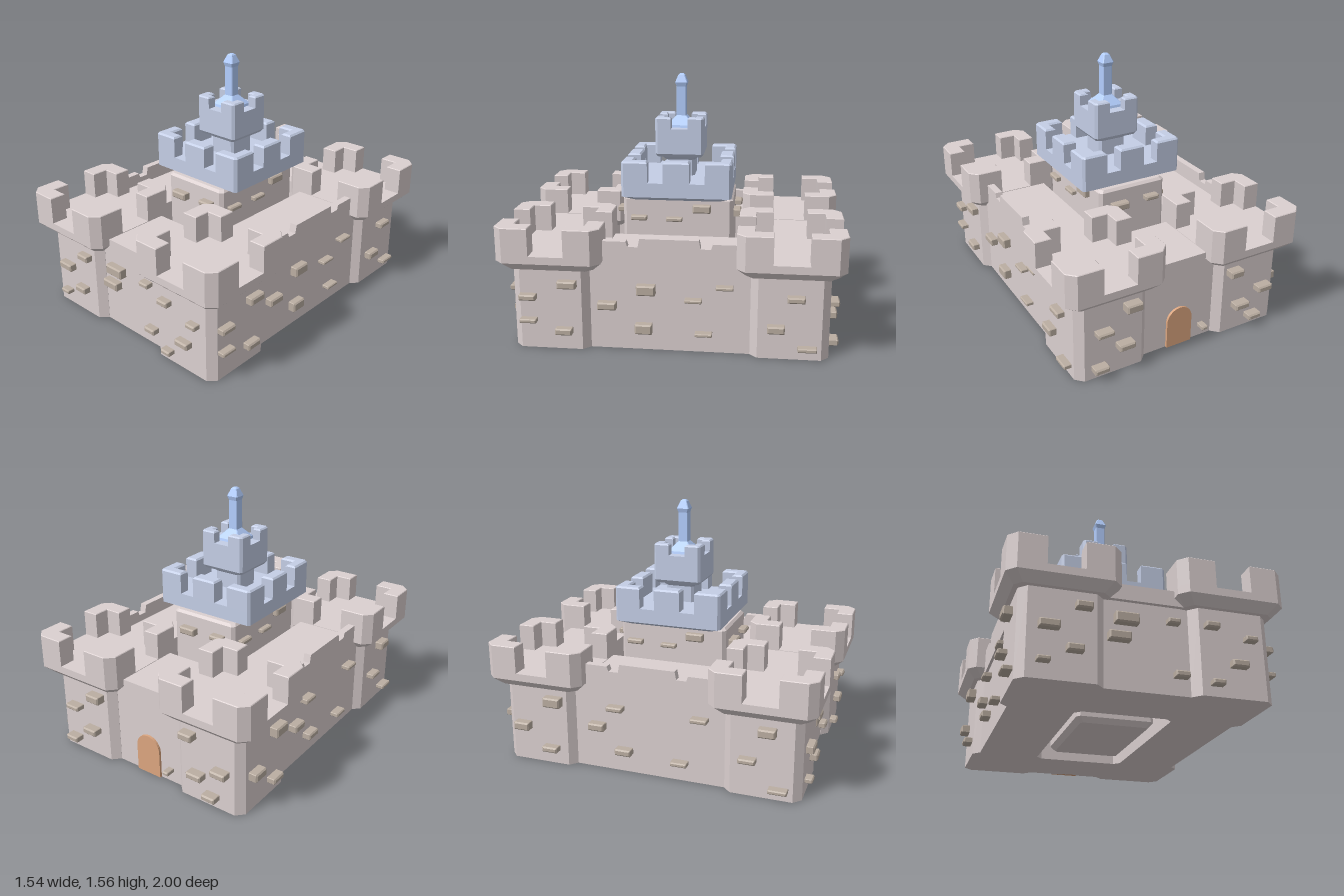
import * as THREE from 'three';

const paint = (color) => new THREE.MeshStandardMaterial({ color, flatShading: true });
const stone = paint(0xdbd0d0), brickMat = paint(0xbbaea2), slate = paint(0xc4cee6);
const spireMat = paint(0xb4cfff), doorMat = paint(0xdca680);

function add(parent, name, geometry, material, x = 0, y = 0, z = 0, ry = 0) {
  const mesh = new THREE.Mesh(geometry, material);
  mesh.name = name;
  mesh.position.set(x, y, z);
  mesh.rotation.y = ry;
  parent.add(mesh);
  return mesh;
}

// Solid through rectangles with cut corners; each ring is [y, halfX, halfZ, cornerCut]
function loft(rings) {
  const pos = [], index = [];
  for (const [y, a, b, c] of rings) {
    const plan = [[a, b - c], [a - c, b], [c - a, b], [-a, b - c], [-a, c - b], [c - a, -b], [a - c, -b], [a, c - b]];
    for (const [x, z] of plan) pos.push(x, y, z);
  }
  const top = (rings.length - 1) * 8;
  for (let r = 0; r < top; r += 8) {
    for (let i = 0; i < 8; i++) {
      const j = (i + 1) % 8;
      index.push(r + i, r + 8 + i, r + j, r + j, r + 8 + i, r + 8 + j);
    }
  }
  for (let i = 1; i < 7; i++) index.push(0, i, i + 1, top, top + i + 1, top + i);
  const g = new THREE.BufferGeometry();
  g.setAttribute('position', new THREE.Float32BufferAttribute(pos, 3));
  g.setIndex(index);
  const flat = g.toNonIndexed();
  flat.computeVertexNormals();
  return flat;
}

// Upright prism with bevelled edges, from a plan outline of [x, z] points
function prism(points, y0, y1, bevel) {
  const shape = new THREE.Shape(points.map(([x, z]) => new THREE.Vector2(x, -z)));
  const g = new THREE.ExtrudeGeometry(shape, {
    depth: y1 - y0 - 2 * bevel, bevelThickness: bevel, bevelSize: bevel, bevelOffset: -bevel, bevelSegments: 1,
  });
  return g.rotateX(-Math.PI / 2).translate(0, y0 + bevel, 0);
}

// Four L-shaped corner merlons round a square top
function cornerMerlons(parent, half, length, thick, cut, y0, y1, bevel, material) {
  const h = half, l = half - length, t = half - thick;
  const g = prism([[l, h], [l, t], [t, t], [t, l], [h, l], [h, h - cut], [h - cut, h]], y0, y1, bevel);
  for (let i = 0; i < 4; i++) add(parent, 'cornerMerlon', g, material, 0, 0, 0, i * Math.PI / 2);
}

// Raised bricks on a wall facing +z; rows are [x, y, width, height, wall z]
function bricks(parent, name, rows, angle, depth) {
  const group = new THREE.Group();
  group.name = name;
  group.rotation.y = angle;
  for (const [x, y, w, h, z] of rows) {
    const b = Math.min(0.008, h * 0.25);
    const g = loft([
      [-0.03, w / 2, h / 2, 0.003], [depth - b, w / 2, h / 2, 0.003], [depth, w / 2 - b, h / 2 - b, 0.002],
    ]).rotateX(Math.PI / 2);
    add(group, 'brick', g, brickMat, x, y, z);
  }
  parent.add(group);
}

export function createModel() {
  const castle = new THREE.Group();
  castle.name = 'castle';

  // Corner towers with flared battlements
  const towerBody = loft([[0, 0.228, 0.228, 0.045], [0.51, 0.228, 0.228, 0.045]]);
  const towerHead = loft([[0.495, 0.255, 0.255, 0.04], [0.545, 0.307, 0.307, 0.05], [0.59, 0.307, 0.307, 0.05]]);
  for (const sx of [-1, 1]) {
    for (const sz of [-1, 1]) {
      const tower = new THREE.Group();
      tower.name = 'cornerTower';
      tower.position.set(sx * 0.463, 0, sz * 0.693);
      add(tower, 'towerBody', towerBody, stone);
      add(tower, 'towerHead', towerHead, stone);
      cornerMerlons(tower, 0.307, 0.205, 0.102, 0.05, 0.56, 0.754, 0.004, stone);
      castle.add(tower);
    }
  }

  // Curtain walls round an open court, with slightly wider tops
  const endWall = new THREE.BoxGeometry(0.6, 0.5, 0.375);
  const endCap = new THREE.BoxGeometry(0.5, 0.09, 0.42);
  const sideWall = new THREE.BoxGeometry(0.368, 0.5, 1.1);
  const sideCap = new THREE.BoxGeometry(0.4, 0.09, 1.0);
  // Low side parapet with two notches
  const edge = [[-0.45, 0.57], [0.45, 0.57], [0.45, 0.665], [0.25, 0.665], [0.24, 0.635], [0.18, 0.635],
    [0.17, 0.685], [-0.17, 0.685], [-0.18, 0.635], [-0.24, 0.635], [-0.25, 0.665], [-0.45, 0.665]];
  const parapet = new THREE.ExtrudeGeometry(
    new THREE.Shape(edge.map(([x, y]) => new THREE.Vector2(x, y))), { depth: 0.045, bevelEnabled: false });
  for (const s of [-1, 1]) {
    add(castle, 'endWall', endWall, stone, 0, 0.25, s * 0.6875);
    add(castle, 'endWallTop', endCap, stone, 0, 0.542, s * 0.69);
    add(castle, 'sideWall', sideWall, stone, s * 0.464, 0.25, 0);
    add(castle, 'sideWallTop', sideCap, stone, s * 0.465, 0.542, 0);
    add(castle, 'sideParapet', parapet, stone, s * 0.62, 0, 0, s * Math.PI / 2);
  }

  // Arched door in the back wall
  const arch = new THREE.Shape();
  arch.moveTo(-0.085, 0);
  arch.lineTo(0.085, 0);
  arch.lineTo(0.085, 0.17);
  arch.absarc(0, 0.17, 0.085, 0, Math.PI, false);
  arch.closePath();
  add(castle, 'door', new THREE.ExtrudeGeometry(arch, { depth: 0.03, bevelEnabled: false, curveSegments: 8 }),
    doorMat, 0, 0, -0.86, Math.PI);

  // Central keep
  add(castle, 'keep', loft([
    [0, 0.2, 0.315, 0.015], [0.03, 0.228, 0.34, 0.02], [0.805, 0.228, 0.34, 0.02], [0.82, 0.215, 0.325, 0.02],
  ]), stone);

  // Broad blue battlement on the keep
  const crown = new THREE.Group();
  crown.name = 'keepBattlement';
  add(crown, 'crownBase', loft([
    [0.812, 0.27, 0.27, 0.015], [0.842, 0.334, 0.334, 0.015], [0.93, 0.334, 0.334, 0.015],
  ]), slate);
  cornerMerlons(crown, 0.334, 0.16, 0.07, 0.015, 0.9, 1.06, 0.01, slate);
  const merlon = prism([[-0.08, 0.334], [-0.08, 0.25], [0.08, 0.25], [0.08, 0.334]], 0.9, 1.06, 0.01);
  for (let i = 0; i < 4; i++) add(crown, 'middleMerlon', merlon, slate, 0, 0, 0, i * Math.PI / 2);
  castle.add(crown);

  // Small turret on a narrow neck
  const turret = new THREE.Group();
  turret.name = 'turret';
  add(turret, 'neck', loft([
    [0.92, 0.09, 0.09, 0.015], [1.03, 0.09, 0.09, 0.015], [1.065, 0.125, 0.125, 0.015],
  ]), slate);
  add(turret, 'turretBody', loft([
    [1.055, 0.135, 0.135, 0.012], [1.075, 0.15, 0.15, 0.015], [1.23, 0.15, 0.15, 0.015],
  ]), slate);
  cornerMerlons(turret, 0.15, 0.098, 0.055, 0.015, 1.2, 1.3, 0.008, slate);
  castle.add(turret);

  // Spire: flared square foot, square shaft and tapered tip
  add(castle, 'spire', loft([
    [1.225, 0.085, 0.085, 0.006], [1.245, 0.08, 0.08, 0.006], [1.3, 0.03, 0.03, 0.004],
    [1.48, 0.03, 0.03, 0.004], [1.505, 0.038, 0.038, 0.005],
    [1.55, 0.02, 0.02, 0.004], [1.557, 0.012, 0.012, 0.003],
  ]), spireMat);

  // Raised bricks on the outer walls: tower, end wall, side tower and side wall faces
  const T = 0.92, W = 0.875, S = 0.69, V = 0.648;
  const front = [
    [-0.355, 0.41, 0.09, 0.04, T], [-0.535, 0.285, 0.11, 0.045, T], [-0.4, 0.17, 0.09, 0.04, T],
    [-0.56, 0.095, 0.07, 0.025, T], [0.345, 0.39, 0.08, 0.035, T], [0.565, 0.335, 0.07, 0.03, T],
    [0.49, 0.185, 0.095, 0.04, T], [0.36, 0.07, 0.07, 0.03, T],
    [-0.115, 0.39, 0.13, 0.06, W], [-0.155, 0.285, 0.12, 0.05, W],
    [0.145, 0.405, 0.07, 0.03, W], [0.18, 0.11, 0.08, 0.035, W],
  ];
  const back = [
    [-0.355, 0.42, 0.1, 0.05, T], [-0.535, 0.305, 0.1, 0.03, T], [-0.4, 0.18, 0.1, 0.04, T],
    [-0.56, 0.075, 0.09, 0.035, T], [0.345, 0.42, 0.09, 0.045, T], [0.565, 0.255, 0.1, 0.04, T],
    [0.4, 0.18, 0.1, 0.04, T], [0.5, 0.075, 0.09, 0.035, T], [0.16, 0.08, 0.04, 0.025, W],
  ];
  // Along the right side, x runs towards the back
  const right = [
    [-0.59, 0.41, 0.11, 0.045, S], [-0.825, 0.325, 0.1, 0.035, S], [-0.825, 0.18, 0.1, 0.025, S],
    [-0.365, 0.275, 0.11, 0.045, V], [-0.615, 0.12, 0.1, 0.04, S], [-0.135, 0.38, 0.11, 0.06, V],
    [-0.15, 0.14, 0.1, 0.06, V], [0.32, 0.41, 0.1, 0.02, V], [0.14, 0.325, 0.1, 0.02, V],
    [0.2, 0.12, 0.1, 0.02, V], [0.725, 0.375, 0.1, 0.035, S], [0.615, 0.19, 0.1, 0.045, S],
    [0.795, 0.075, 0.11, 0.025, S],
  ];
  // Along the left side, x runs towards the front
  const left = [
    [-0.59, 0.415, 0.11, 0.06, S], [-0.8, 0.235, 0.1, 0.05, S], [-0.615, 0.105, 0.1, 0.035, S],
    [-0.32, 0.28, 0.1, 0.045, V], [-0.2, 0.41, 0.1, 0.03, V], [-0.15, 0.14, 0.1, 0.04, V],
    [0.32, 0.41, 0.1, 0.025, V], [0.2, 0.12, 0.1, 0.025, V], [0.725, 0.415, 0.1, 0.05, S],
    [0.615, 0.23, 0.1, 0.03, S], [0.795, 0.07, 0.11, 0.025, S],
  ];
  bricks(castle, 'frontBricks', front, 0, 0.048);
  bricks(castle, 'backBricks', back, Math.PI, 0.06);
  bricks(castle, 'rightBricks', right, Math.PI / 2, 0.048);
  bricks(castle, 'leftBricks', left, -Math.PI / 2, 0.055);

  // Bricks on the keep
  const keepEnds = [[-0.1, 0.71, 0.11, 0.045, 0.34], [0.12, 0.72, 0.09, 0.03, 0.34], [-0.075, 0.4, 0.17, 0.05, 0.34]];
  const keepSides = [[0.15, 0.755, 0.11, 0.05, 0.228], [-0.24, 0.69, 0.1, 0.03, 0.228], [-0.02, 0.685, 0.1, 0.025, 0.228]];
  for (const turn of [0, Math.PI]) {
    bricks(castle, 'keepEndBricks', keepEnds, turn, 0.048);
    bricks(castle, 'keepSideBricks', keepSides, turn + Math.PI / 2, 0.035);
  }
  return castle;
}
